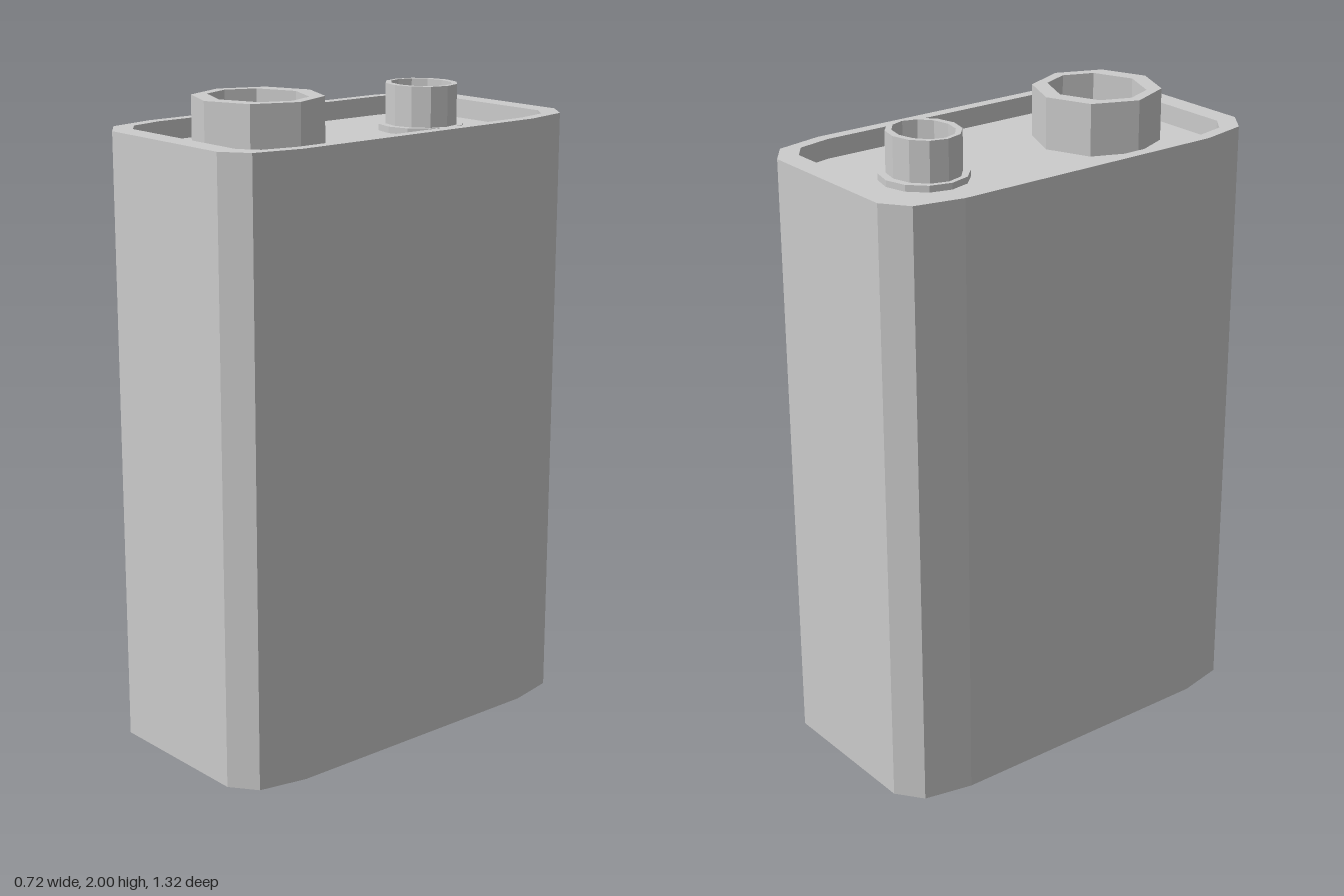
import * as THREE from 'three';

const FLOOR = 1.84;
const material = new THREE.MeshStandardMaterial({ color: 0xcccccc, flatShading: true });

// Mirrors a quarter outline (running from the x side to the z side) into a closed loop.
function mirrorQuarter(quarter) {
  const back = [...quarter].reverse();
  const all = [
    ...quarter,
    ...back.map(([x, z]) => [-x, z]),
    ...quarter.map(([x, z]) => [-x, -z]),
    ...back.map(([x, z]) => [x, -z]),
  ].map(([x, z]) => new THREE.Vector2(x, z));
  // drop doubled points on the axes
  return all.filter((p, i) => p.distanceTo(all[(i + 1) % all.length]) > 1e-5);
}

function ellipseLoop(rx, rz, sides) {
  return Array.from({ length: sides }, (_, i) => {
    const a = (i / sides) * Math.PI * 2;
    return new THREE.Vector2(rx * Math.cos(a), rz * Math.sin(a));
  });
}

// Upright prism from y0 to y1, with an optional hole right through it.
function prism(name, outline, y0, y1, z = 0, hole = null) {
  const shape = new THREE.Shape(outline);
  if (hole) shape.holes.push(new THREE.Path(hole));
  const geometry = new THREE.ExtrudeGeometry(shape, { depth: y1 - y0, bevelEnabled: false });
  geometry.rotateX(-Math.PI / 2);
  const mesh = new THREE.Mesh(geometry, material);
  mesh.name = name;
  mesh.position.set(0, y0, z);
  return mesh;
}

export function createModel() {
  const model = new THREE.Group();
  model.name = 'battery';

  // Casing with chamfered corners and a raised rim round the sunken top
  const outer = mirrorQuarter([[0.362, 0.45], [0.33, 0.602], [0.25, 0.662]]);
  const inner = mirrorQuarter([[0.325, 0.44], [0.302, 0.548], [0.245, 0.592]]);
  model.add(prism('casing', outer, 0, FLOOR));
  model.add(prism('rim', outer, FLOOR, 1.9, 0, inner));

  // Large eight-sided socket terminal
  const socketHole = mirrorQuarter([[0.16, 0], [0.123, 0.092], [0, 0.143]]);
  model.add(prism('socketTerminal', ellipseLoop(0.196, 0.196, 8), FLOOR, 2, 0.32, socketHole));

  // Small round stud terminal: flange and hollow neck
  const stud = new THREE.Group();
  stud.name = 'studTerminal';
  const neckHole = ellipseLoop(0.105, 0.087, 12);
  stud.add(prism('studFlange', ellipseLoop(0.135, 0.135, 12), FLOOR, FLOOR + 0.02, -0.325, neckHole));
  stud.add(prism('studNeck', ellipseLoop(0.119, 0.109, 12), FLOOR + 0.02, 1.985, -0.325, neckHole));
  model.add(stud);

  return model;
}
